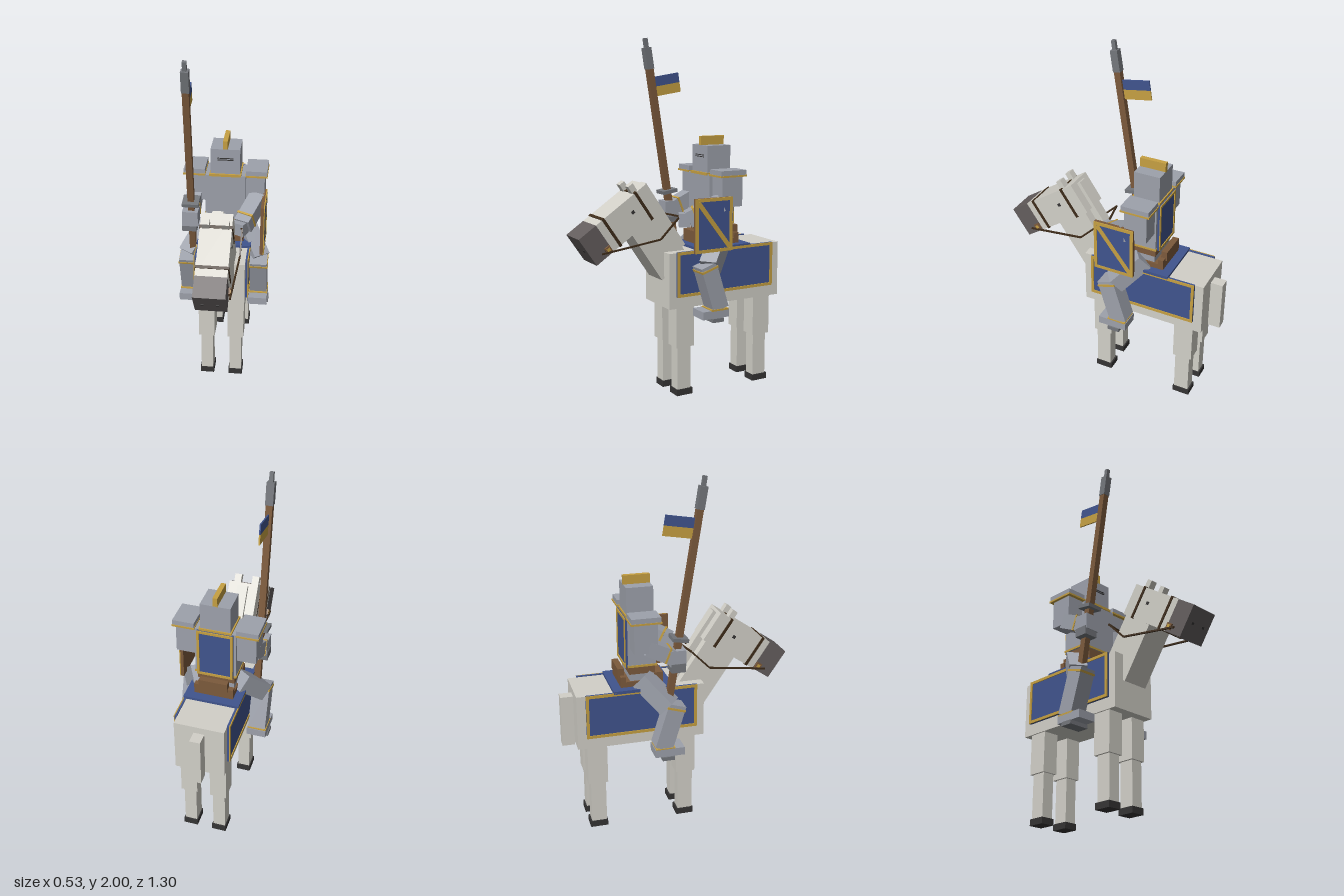
import * as THREE from 'three';

const paint = (name, color) => {
  const m = new THREE.MeshStandardMaterial({ color });
  m.name = name;
  return m;
};

export function createModel() {
  const coat = paint('coat', 0xd2d0c8), muzzleGrey = paint('muzzle grey', 0x645e5e);
  const black = paint('hoof black', 0x353434), leather = paint('dark leather', 0x3e2c1a);
  const wood = paint('brown', 0x7c5a3c), steel = paint('steel', 0x9da1ab);
  const darkSteel = paint('dark steel', 0x74777c), blue = paint('blue', 0x40548e);
  const gold = paint('gold', 0xc6a042);
  const root = new THREE.Group();
  root.name = 'mountedKnight';

  // Box given by its size and centre
  const box = (parent, name, mat, [w, h, d], [x, y, z]) => {
    const m = new THREE.Mesh(new THREE.BoxGeometry(w, h, d), mat);
    m.name = name;
    m.position.set(x, y, z);
    parent.add(m);
    return m;
  };
  // Box given by its lowest and highest corner
  const span = (name, mat, a, b, parent = root) =>
    box(parent, name, mat, a.map((v, i) => b[i] - v), a.map((v, i) => (v + b[i]) / 2));
  // Box stretched between two points
  const limb = (name, mat, a, b, w, h) => {
    const p = new THREE.Vector3(...a), q = new THREE.Vector3(...b);
    const m = box(root, name, mat, [w, h, p.distanceTo(q)], p.clone().lerp(q, 0.5).toArray());
    m.lookAt(q);
    return m;
  };
  const group = (name, x, y, z, tilt = 0) => {
    const g = new THREE.Group();
    g.name = name;
    g.position.set(x, y, z);
    g.rotation.x = tilt;
    root.add(g);
    return g;
  };
  // Blue panel facing +z with a gold border
  const panel = (name, w, h, t, border, back = blue) => {
    const g = group(name, 0, 0, 0);
    box(g, name + 'Backing', back, [w, h, t], [0, 0, -t / 2]);
    if (back !== blue) box(g, name + 'Field', blue, [w - border, h - border, 0.003], [0, 0, 0.001]);
    for (const s of [-1, 1]) {
      box(g, name + 'Border', gold, [border, h, 0.006], [s * (w - border) / 2, 0, 0.002]);
      box(g, name + 'Border', gold, [w, border, 0.006], [0, s * (h - border) / 2, 0.002]);
    }
    return g;
  };

  // Horse body and tail
  span('horseBody', coat, [-0.14, 0.515, -0.585], [0.14, 0.83, 0.14]);
  span('tail', coat, [-0.03, 0.495, -0.655], [0.03, 0.79, -0.585]);

  // Horse legs
  for (const x of [-0.085, 0.085]) for (const z of [0.034, -0.477]) {
    box(root, 'upperLeg', coat, [0.094, 0.24, 0.112], [x, 0.405, z]);
    box(root, 'lowerLeg', coat, [0.07, 0.255, 0.086], [x, 0.1625, z + 0.002]);
    box(root, 'hoof', black, [0.082, 0.036, 0.1], [x, 0.018, z]);
  }

  // Neck and mane lean forward
  const neck = group('neckGroup', 0, 0.672, 0.153, 0.594);
  span('neck', coat, [-0.08, 0, -0.205], [0.08, 0.365, 0], neck);
  span('mane', coat, [-0.03, 0.05, -0.245], [0.03, 0.49, -0.2], neck);

  // Head with muzzle, eyes, ears and bridle
  const head = group('headGroup', 0, 0.873, 0.598, 0.597);
  span('head', coat, [-0.085, -0.09, -0.48], [0.085, 0.09, -0.12], head);
  span('muzzle', muzzleGrey, [-0.085, -0.09, -0.12], [0.085, 0.09, 0], head);
  for (const z of [-0.17, -0.4])
    box(head, 'bridleStrap', leather, [0.178, 0.188, 0.016], [0, 0, z]);
  for (const s of [-1, 1]) {
    box(head, 'eye', black, [0.008, 0.018, 0.018], [s * 0.084, 0.012, -0.33]);
    box(head, 'nostril', black, [0.016, 0.012, 0.006], [s * 0.04, 0.0, 0]);
    box(head, 'ear', coat, [0.04, 0.06, 0.034], [s * 0.052, 0.107, -0.405]);
    box(head, 'bitPlate', wood, [0.012, 0.035, 0.035], [s * 0.089, -0.06, -0.1]);
    box(head, 'bitStud', gold, [0.006, 0.018, 0.018], [s * 0.094, -0.06, -0.1]);
    // Reins run back to the left hand
    const pts = [[s * 0.095, 0.86, 0.52], [s * 0.115, 0.91, 0.18], [s * 0.117, 1.02, 0.07], [0.09, 1.02, 0.03]];
    for (let i = 0; i < 3; i++) limb('rein', leather, pts[i], pts[i + 1], 0.009, 0.009);
  }

  // Side cloths and saddle
  for (const s of [-1, 1]) {
    const cloth = panel('sideCloth', 0.63, 0.255, 0.012, 0.016);
    cloth.position.set(s * 0.152, 0.708, -0.22);
    cloth.rotation.y = s * Math.PI / 2;
  }
  span('saddleBlanket', blue, [-0.157, 0.828, -0.38], [0.157, 0.845, -0.04]);
  span('saddleSeat', wood, [-0.11, 0.845, -0.33], [0.11, 0.875, -0.09]);
  span('cantle', wood, [-0.11, 0.87, -0.33], [0.11, 0.905, -0.3]);
  span('cantleTop', wood, [-0.08, 0.89, -0.34], [0.08, 0.945, -0.305]);
  span('pommel', wood, [-0.11, 0.87, -0.14], [0.11, 0.915, -0.09]);

  // Rider torso
  span('hips', steel, [-0.1, 0.87, -0.275], [0.1, 0.915, -0.14]);
  span('belt', wood, [-0.105, 0.915, -0.28], [0.105, 0.96, -0.135]);
  span('torso', steel, [-0.115, 0.96, -0.285], [0.115, 1.245, -0.13]);
  span('torsoTrim', gold, [-0.118, 0.96, -0.288], [0.118, 0.972, -0.127]);
  span('collar', gold, [-0.09, 1.24, -0.292], [0.09, 1.255, -0.125]);
  const cape = panel('backCloth', 0.2, 0.285, 0.012, 0.014);
  cape.position.set(0, 1.1, -0.298);
  cape.rotation.y = Math.PI;

  // Helmet with crest and visor slits
  span('helmet', steel, [-0.083, 1.25, -0.285], [0.083, 1.405, -0.135]);
  span('crest', gold, [-0.013, 1.4, -0.285], [0.013, 1.455, -0.135]);
  for (const y of [1.341, 1.351]) box(root, 'visorSlit', black, [0.09, 0.004, 0.006], [0, y, -0.134]);

  // Shoulders, upper arms and legs on both sides
  for (const s of [-1, 1]) {
    box(root, 'pauldron', steel, [0.12, 0.032, 0.162], [s * 0.176, 1.262, -0.212]);
    box(root, 'pauldronTrim', gold, [0.125, 0.01, 0.17], [s * 0.176, 1.246, -0.212]);
    box(root, 'upperArm', steel, [0.105, 0.17, 0.13], [s * 0.17, 1.16, -0.212]);
    limb('thigh', steel, [s * 0.11, 0.89, -0.21], [s * 0.205, 0.745, -0.08], 0.1, 0.1);
    limb('shin', steel, [s * 0.205, 0.765, -0.045], [s * 0.205, 0.51, -0.125], 0.1, 0.1);
    const knee = box(root, 'kneeTrim', gold, [0.108, 0.012, 0.106], [s * 0.205, 0.742, -0.052]);
    knee.rotation.x = 0.3;
    box(root, 'footTrim', gold, [0.108, 0.01, 0.11], [s * 0.205, 0.51, -0.115]);
    box(root, 'foot', steel, [0.112, 0.045, 0.168], [s * 0.203, 0.487, -0.09]);
    box(root, 'stirrup', darkSteel, [0.125, 0.022, 0.07], [s * 0.203, 0.453, -0.1]);
  }

  // Left arm reaches the reins, right arm grips the lance
  limb('leftForearm', steel, [0.19, 1.1, -0.16], [0.115, 1.01, 0.01], 0.09, 0.09);
  limb('leftCuff', gold, [0.135, 1.035, -0.035], [0.13, 1.03, -0.025], 0.097, 0.097);
  const leftHand = box(root, 'leftHand', steel, [0.075, 0.075, 0.06], [0.1, 1.005, 0.025]);
  leftHand.rotation.y = -0.45;
  limb('rightForearm', steel, [-0.18, 1.1, -0.2], [-0.185, 1.03, -0.05], 0.085, 0.085);
  limb('rightCuff', gold, [-0.183, 1.052, -0.095], [-0.183, 1.048, -0.085], 0.092, 0.092);
  box(root, 'rightHand', steel, [0.09, 0.09, 0.09], [-0.185, 1.03, -0.035]);
  box(root, 'rightKnuckles', darkSteel, [0.085, 0.05, 0.08], [-0.19, 0.975, -0.035]);

  // Lance with guard, head and pennant
  const lance = group('lance', -0.18, 0.79, -0.074, 0.157);
  span('shaft', wood, [-0.018, 0, -0.018], [0.018, 1.06, 0.018], lance);
  span('handGuard', darkSteel, [-0.047, 0.335, -0.045], [0.047, 0.355, 0.045], lance);
  span('lanceHead', darkSteel, [-0.021, 1.05, -0.021], [0.021, 1.17, 0.021], lance);
  span('lanceTip', darkSteel, [-0.011, 1.17, -0.011], [0.011, 1.222, 0.011], lance);
  span('pennantUpper', blue, [-0.004, 0.948, -0.178], [0.004, 1.003, -0.015], lance);
  span('pennantLower', gold, [-0.004, 0.893, -0.178], [0.004, 0.948, -0.015], lance);

  // Shield with a diagonal band
  const shield = panel('shield', 0.235, 0.3, 0.018, 0.018, wood);
  shield.position.set(0.232, 0.985, -0.088);
  shield.rotation.y = Math.PI / 2;
  const band = box(shield, 'shieldBand', gold, [0.026, 0.325, 0.005], [0, 0, 0.002]);
  band.rotation.z = 0.66;

  return root;
}
